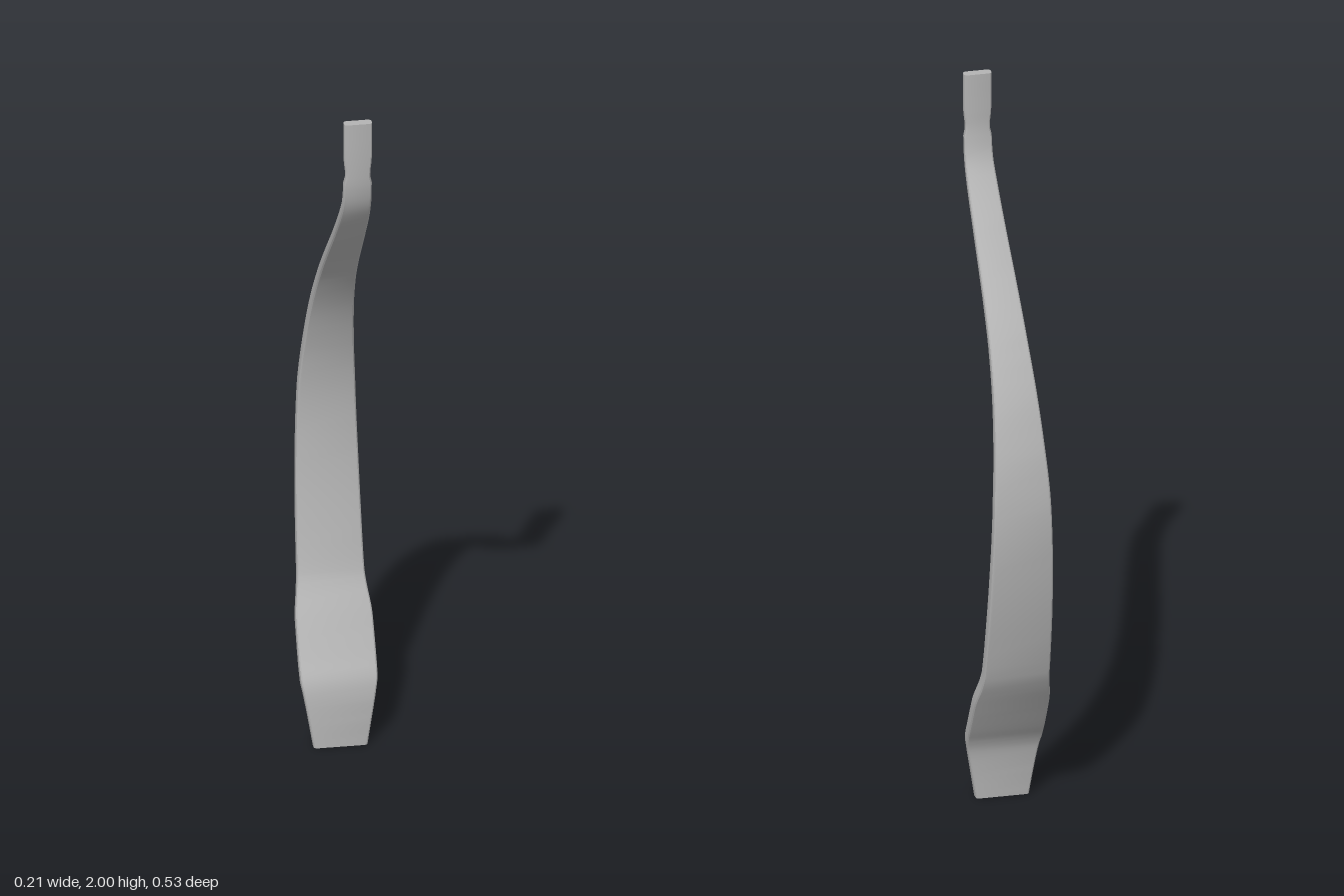
import * as THREE from 'three';
import { toCreasedNormals } from 'three/addons/utils/BufferGeometryUtils.js';

// Stations from foot to tip: y, centre z, centre x, half width, thickness
const stations = [
  [0, -0.006, 0, 0.073, 0.034],
  [0.08, -0.01, 0, 0.086, 0.034],
  [0.15, -0.018, 0, 0.098, 0.034],
  [0.185, -0.03, 0, 0.104, 0.035],
  [0.23, -0.058, 0, 0.105, 0.035],
  [0.33, -0.117, 0, 0.104, 0.036],
  [0.395, -0.156, 0, 0.095, 0.036],
  [0.435, -0.174, 0, 0.091, 0.036],
  [0.6, -0.215, 0, 0.088, 0.037],
  [0.74, -0.238, 0, 0.085, 0.037],
  [0.87, -0.248, 0, 0.081, 0.037],
  [0.98, -0.243, 0, 0.077, 0.036],
  [1.1, -0.22, 0.001, 0.069, 0.036],
  [1.24, -0.168, 0.002, 0.06, 0.034],
  [1.36, -0.095, 0.003, 0.053, 0.032],
  [1.46, -0.011, 0.003, 0.049, 0.03],
  [1.6, 0.118, 0.004, 0.044, 0.028],
  [1.7, 0.203, 0.005, 0.041, 0.027],
  [1.755, 0.236, 0.006, 0.039, 0.026],
  [1.82, 0.251, 0.006, 0.038, 0.026],
  [1.9, 0.254, 0.006, 0.038, 0.026],
  [2, 0.254, 0.006, 0.038, 0.026],
];

// Rounded rectangle as [x, depth] pairs, counter-clockwise
function roundedSection(halfWidth, halfDepth, radius) {
  const corners = [[1, 1], [-1, 1], [-1, -1], [1, -1]];
  return corners.flatMap(([sx, sz], c) => [0, 1, 2, 3].map((k) => {
    const a = (c + k / 3) * Math.PI / 2;
    return [
      sx * (halfWidth - radius) + radius * Math.cos(a),
      sz * (halfDepth - radius) + radius * Math.sin(a),
    ];
  }));
}

function createStripGeometry() {
  const path = new THREE.CatmullRomCurve3(stations.map(([y, z, x]) => new THREE.Vector3(x, y, z)));
  const sizes = new THREE.CatmullRomCurve3(stations.map(([, , , w, d]) => new THREE.Vector3(w, d, 0)));
  const steps = (stations.length - 1) * 4, ring = 16;
  const positions = [], indices = [];

  // Cross-sections square to the path, level at both ends
  for (let i = 0; i <= steps; i++) {
    const t = i / steps, p = path.getPoint(t), s = sizes.getPoint(t);
    const tangent = i === 0 || i === steps ? new THREE.Vector3(0, 1, 0) : path.getTangent(t);
    for (const [u, v] of roundedSection(s.x, s.y / 2, 0.009)) {
      positions.push(p.x + u, p.y - v * tangent.z, p.z + v * tangent.y);
    }
  }
  for (let i = 0; i < steps; i++) {
    for (let j = 0; j < ring; j++) {
      const a = i * ring + j, b = i * ring + (j + 1) % ring;
      indices.push(a, a + ring, b, b, a + ring, b + ring);
    }
  }
  // End caps
  const last = steps * ring;
  for (let j = 1; j < ring - 1; j++) {
    indices.push(0, j, j + 1, last, last + j + 1, last + j);
  }

  // Counter-clockwise in x-z runs clockwise seen from +y, so flip nothing else
  const geometry = new THREE.BufferGeometry();
  geometry.setAttribute('position', new THREE.Float32BufferAttribute(positions, 3));
  geometry.setIndex(indices);
  return toCreasedNormals(geometry, 0.45);
}

export function createModel() {
  const metal = new THREE.MeshStandardMaterial({ color: 0xb3b3b3 });
  metal.name = 'grey metal';
  const strip = new THREE.Mesh(createStripGeometry(), metal);
  strip.name = 'curvedStrip';
  const model = new THREE.Group();
  model.name = 'curvedHandle';
  model.add(strip);
  return model;
}
